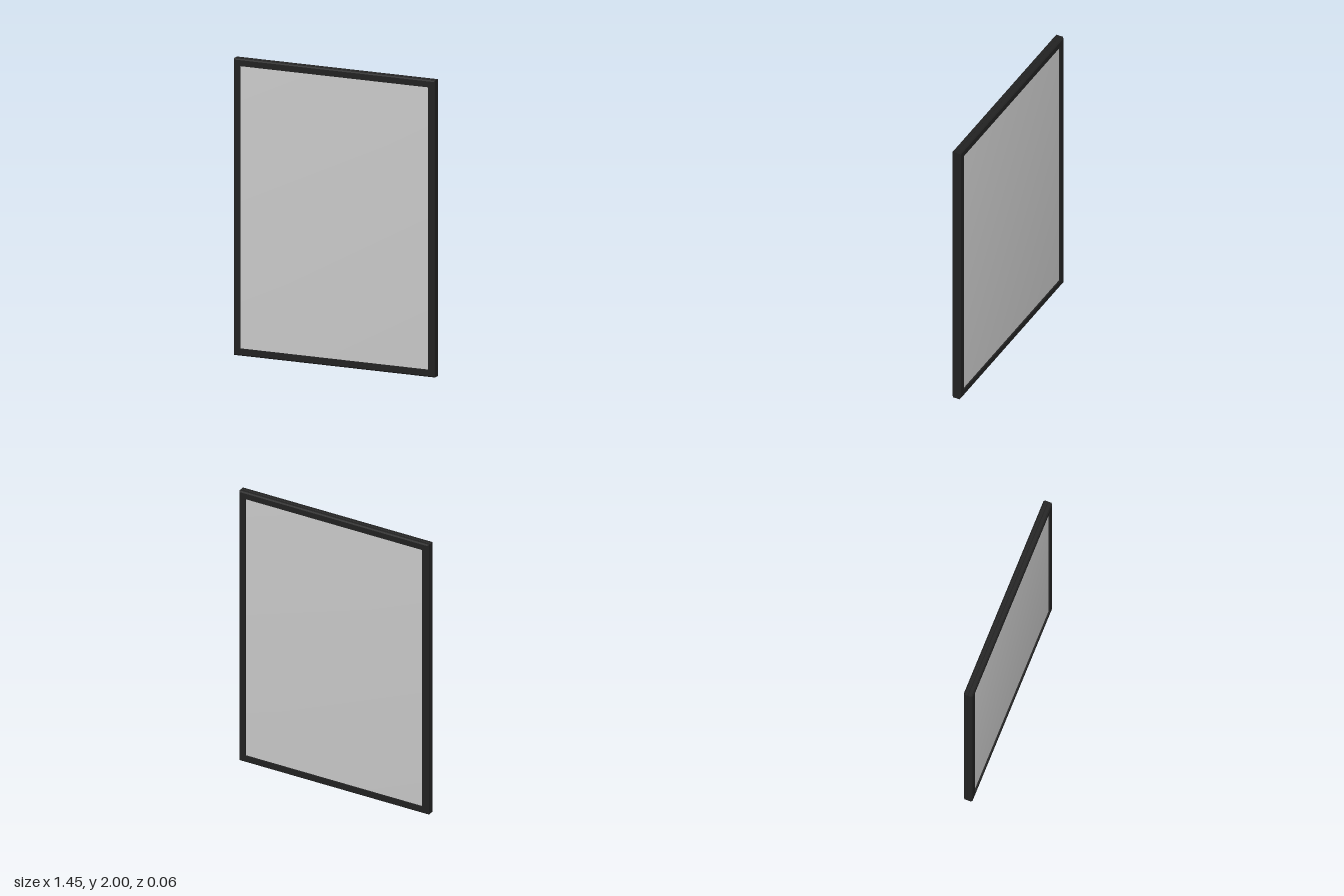
import * as THREE from 'three';
import { mergeVertices } from 'three/addons/utils/BufferGeometryUtils.js';

const WIDTH = 1.45, HEIGHT = 2, DEPTH = 0.062, BORDER = 0.048;

// Sweeps a closed section of [inset, z] points round a rectangle with mitred corners.
function mitredFrame(width, height, section) {
  const corners = [[-1, -1], [1, -1], [1, 1], [-1, 1]];
  const point = (i, k) => {
    const [inset, z] = section[i % section.length];
    const [sx, sy] = corners[k % 4];
    return [sx * (width / 2 - inset), sy * (height / 2 - inset), z];
  };
  const positions = [];
  for (let i = 0; i < section.length; i++) {
    for (let k = 0; k < 4; k++) {
      const a = point(i, k), b = point(i, k + 1), c = point(i + 1, k + 1), d = point(i + 1, k);
      positions.push(...a, ...b, ...c, ...a, ...c, ...d);
    }
  }
  const geometry = new THREE.BufferGeometry();
  geometry.setAttribute('position', new THREE.Float32BufferAttribute(positions, 3));
  geometry.computeVertexNormals();
  return geometry;
}

// Box whose corners share one averaged normal, for soft shading across its faces.
function softBox(width, height, depth) {
  const box = new THREE.BoxGeometry(width, height, depth);
  box.deleteAttribute('normal');
  box.deleteAttribute('uv');
  const geometry = mergeVertices(box);
  geometry.computeVertexNormals();
  return geometry;
}

export function createModel() {
  const model = new THREE.Group();
  model.name = 'framedPanel';

  // Frame: chamfered outer edges with a fine seam round the middle
  const h = DEPTH / 2, chamfer = 0.008, seam = 0.002;
  const half = [[0, seam], [0, h - chamfer], [chamfer, h], [BORDER, h]];
  const section = [[seam, 0], ...half, ...half.map(([d, z]) => [d, -z]).reverse()];
  const frame = new THREE.Mesh(
    mitredFrame(WIDTH, HEIGHT, section),
    new THREE.MeshStandardMaterial({ color: 0x222222 })
  );
  frame.name = 'frame';
  frame.position.y = HEIGHT / 2;
  model.add(frame);

  // Pane: set slightly back from both faces of the frame
  const pane = new THREE.Mesh(
    softBox(WIDTH - 2 * BORDER + 0.01, HEIGHT - 2 * BORDER + 0.01, 0.042),
    new THREE.MeshStandardMaterial({ color: 0xcccccc })
  );
  pane.name = 'pane';
  pane.position.y = HEIGHT / 2;
  model.add(pane);

  return model;
}
